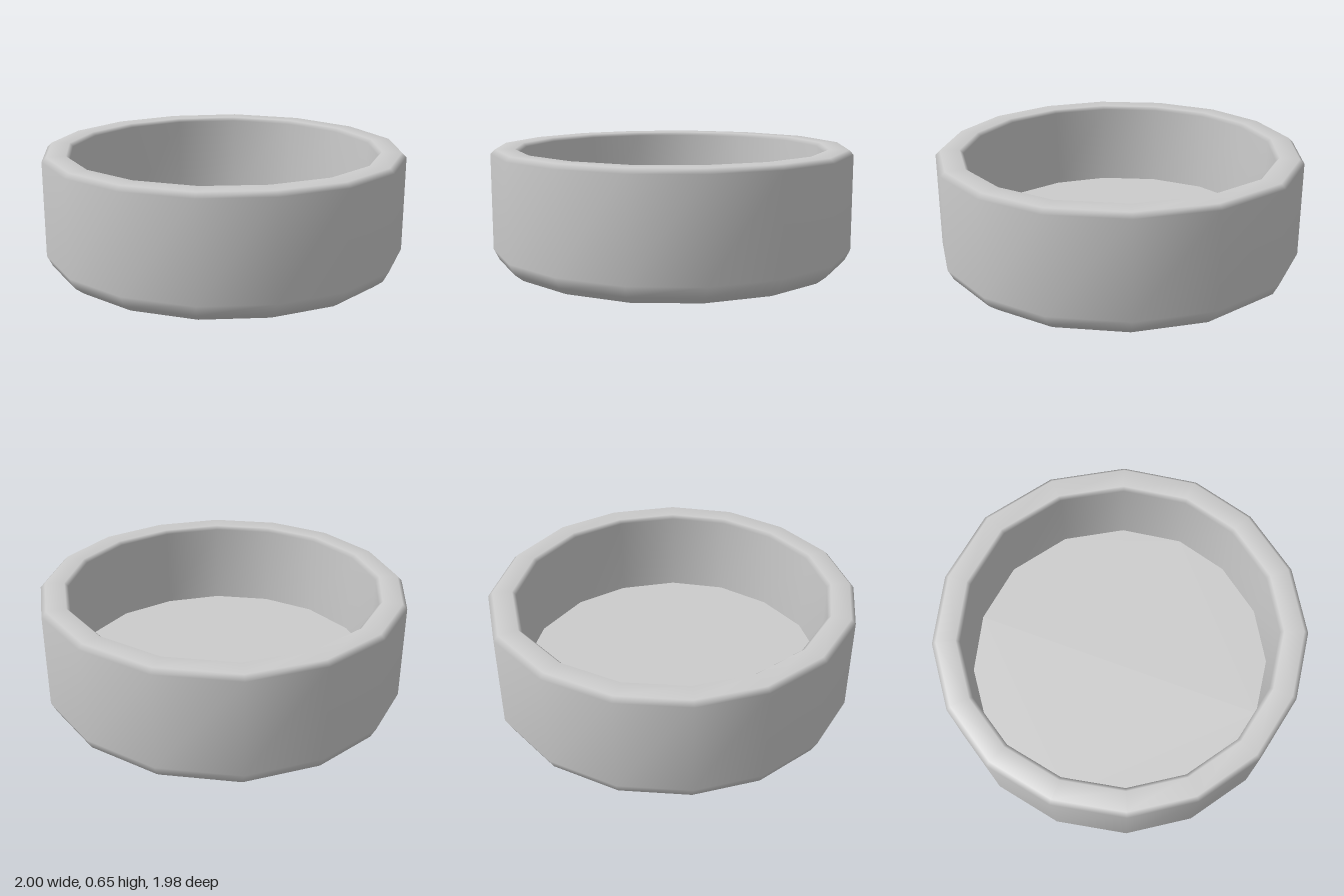
import * as THREE from 'three';

// Irregular sixteen-sided outline of the dish, as [x, z]
const outline = [
  [1, 0.18], [0.85, 0.53], [0.59, 0.81], [0.24, 0.97],
  [-0.13, 0.99], [-0.5, 0.86], [-0.79, 0.61], [-0.96, 0.28],
  [-1, -0.1], [-0.89, -0.48], [-0.63, -0.81], [-0.23, -0.99],
  [0.2, -0.99], [0.59, -0.83], [0.85, -0.56], [1, -0.2],
];

// Wall section as [outline scale, height]: base, outside, rim, inside
const BASE = 0.92, INNER = 0.85, FLOOR_Y = 0.16;
const section = [
  [BASE, 0], [0.97, 0.04], [1, 0.1], [1, 0.625], [0.975, 0.65],
  [0.87, 0.65], [INNER, 0.63], [INNER, FLOOR_Y],
];

// Sweeps the section round the outline with smooth normals
function wallGeometry() {
  const n = outline.length;
  const positions = [], index = [];
  section.forEach(([s, y], j) => {
    outline.forEach(([x, z], i) => {
      positions.push(x * s, y, z * s);
      if (j === section.length - 1) return;
      const a = j * n + i, b = j * n + (i + 1) % n;
      index.push(a, a + n, b, b, a + n, b + n);
    });
  });
  const geometry = new THREE.BufferGeometry();
  geometry.setAttribute('position', new THREE.Float32BufferAttribute(positions, 3));
  geometry.setIndex(index);
  geometry.computeVertexNormals();
  return geometry;
}

// Flat disc on the outline, facing up (1) or down (-1)
function discGeometry(scale, y, facing) {
  const points = outline.map(([x, z]) => new THREE.Vector2(x * scale, -facing * z * scale));
  return new THREE.ShapeGeometry(new THREE.Shape(points))
    .rotateX(-facing * Math.PI / 2)
    .translate(0, y, 0);
}

export function createModel() {
  const group = new THREE.Group();
  group.name = 'dish';
  const material = new THREE.MeshStandardMaterial({ color: 0xcccccc });
  const add = (name, geometry) => {
    const mesh = new THREE.Mesh(geometry, material);
    mesh.name = name;
    group.add(mesh);
  };

  add('wall', wallGeometry());
  add('innerFloor', discGeometry(INNER, FLOOR_Y, 1));
  add('base', discGeometry(BASE, 0, -1));
  return group;
}
